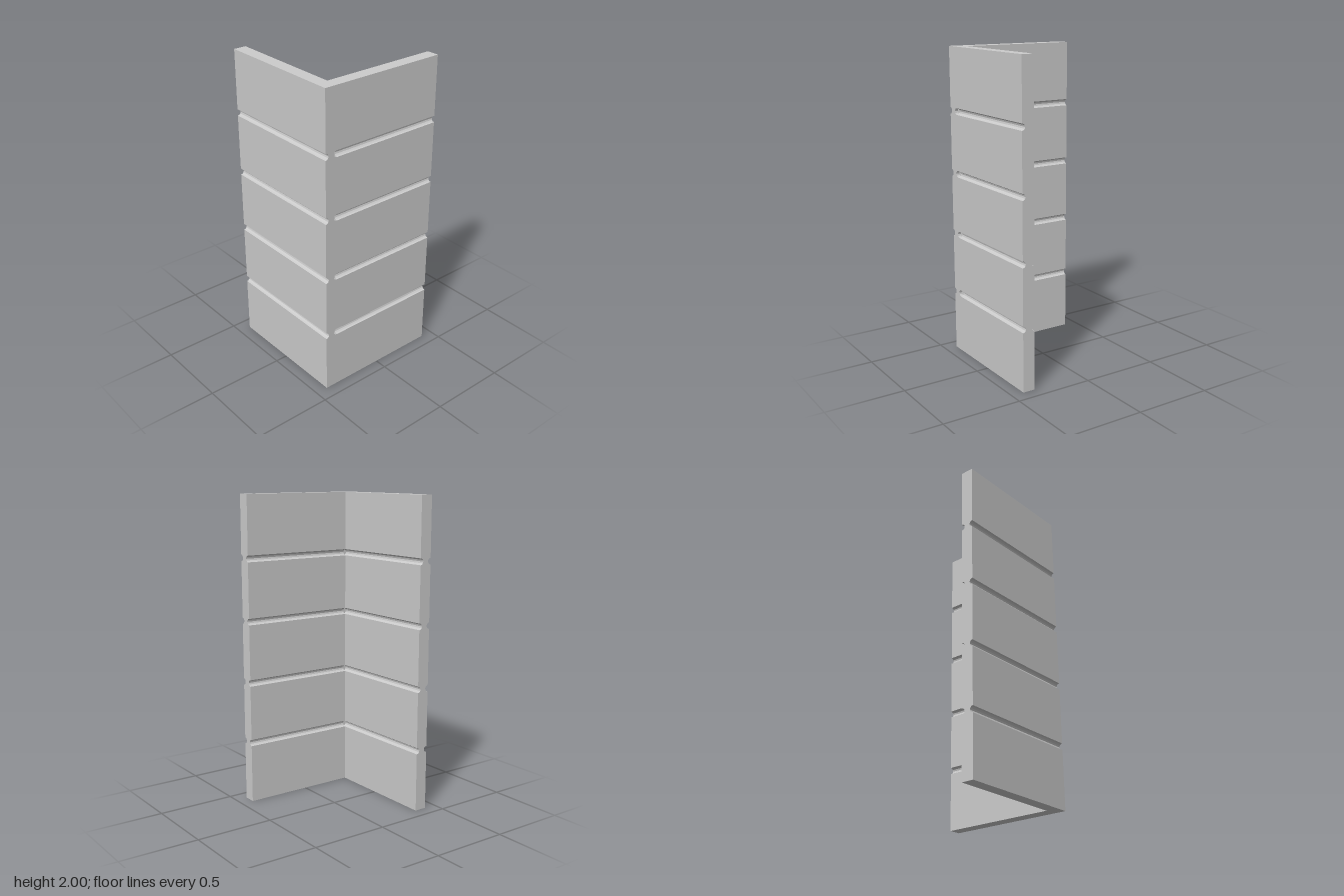
import * as THREE from 'three';

const HALF = 0.42, THICK = 0.08, HEIGHT = 2, GROOVE = 0.021;
const GROOVES = [0.4, 0.8, 1.2, 1.6];
const STEPS = 6;

const material = new THREE.MeshStandardMaterial({ color: 0xcccccc, flatShading: true });

// Upright cross-section of a board, with half-round grooves on both faces
function boardProfile() {
  const right = [new THREE.Vector2(THICK / 2, 0)];
  for (const y of GROOVES) {
    for (let i = 0; i <= STEPS; i++) {
      const a = (i / STEPS) * Math.PI;
      right.push(new THREE.Vector2(THICK / 2 - GROOVE * Math.sin(a), y - GROOVE * Math.cos(a)));
    }
  }
  right.push(new THREE.Vector2(THICK / 2, HEIGHT));
  const left = right.map((p) => new THREE.Vector2(-p.x, p.y)).reverse();
  return new THREE.Shape([...right, ...left]);
}

// Board extruded along z, centred on its length
function board(name, length) {
  const geometry = new THREE.ExtrudeGeometry(boardProfile(), { depth: length, bevelEnabled: false });
  geometry.translate(0, 0, -length / 2);
  const mesh = new THREE.Mesh(geometry, material);
  mesh.name = name;
  return mesh;
}

export function createModel() {
  const group = new THREE.Group();
  group.name = 'groovedCornerPanel';

  // Front board runs the full width
  const front = board('frontBoard', HALF * 2);
  front.rotation.y = Math.PI / 2;
  front.position.z = HALF - THICK / 2;
  group.add(front);

  // Side board butts against the back of the front board
  const side = board('sideBoard', HALF * 2 - THICK);
  side.position.set(HALF - THICK / 2, 0, -THICK / 2);
  group.add(side);

  // Core that closes the inner grooves at the corner joint
  const core = new THREE.Mesh(new THREE.BoxGeometry(THICK - GROOVE * 2, HEIGHT - 0.1, 0.04), material);
  core.name = 'cornerCore';
  core.position.set(HALF - THICK / 2, HEIGHT / 2, HALF - THICK + 0.01);
  group.add(core);

  return group;
}
